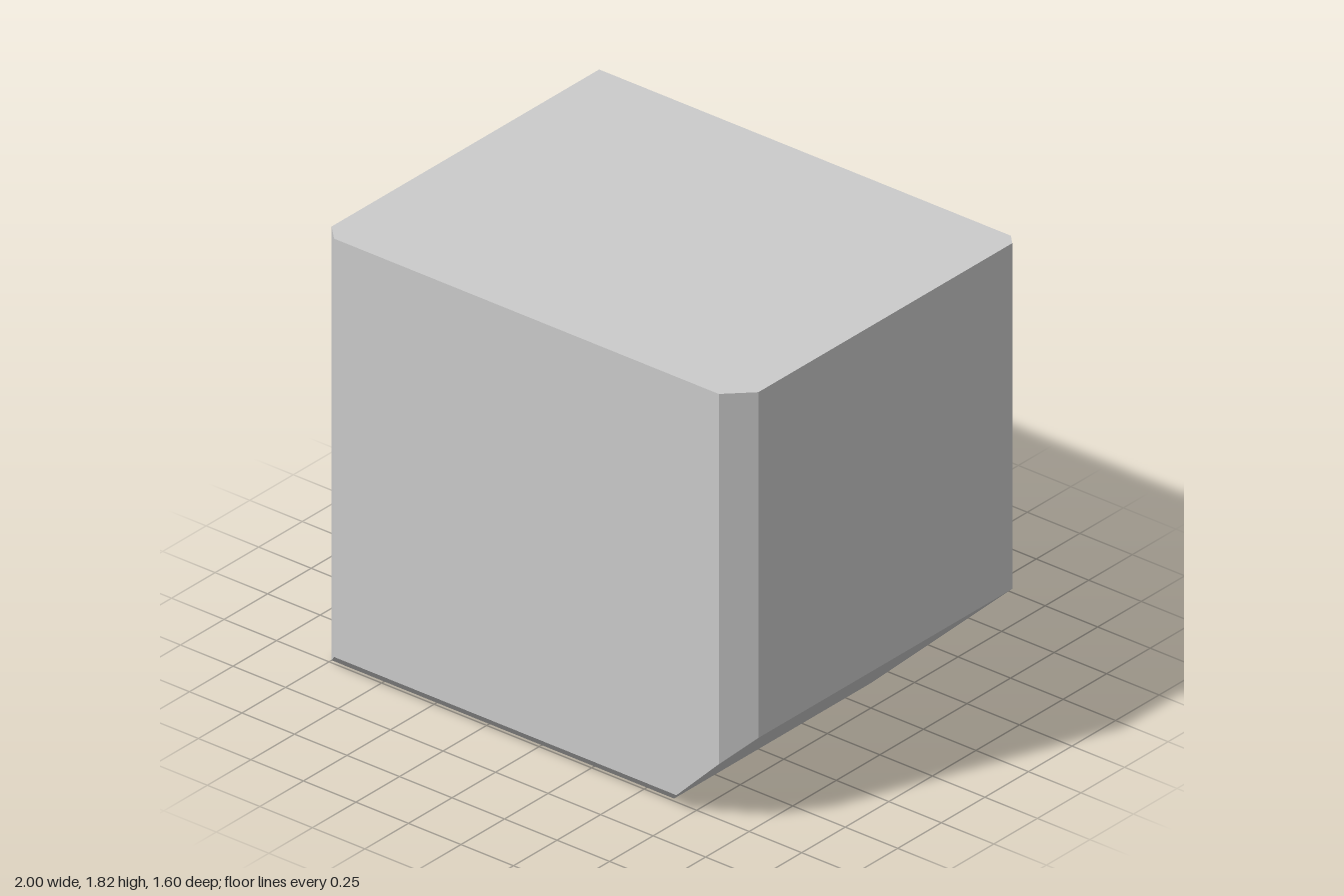
import * as THREE from 'three';
import { ConvexGeometry } from 'three/addons/geometries/ConvexGeometry.js';

const W = 1, D = 0.8, H = 1.82; // half width, half depth, full height

// Each plane is [nx, ny, nz, d]; the solid keeps n . p <= d
const faces = [
  [1, 0, 0, W], [-1, 0, 0, W],
  [0, 0, 1, D], [0, 0, -1, D],
  [0, 1, 0, H], [0, -1, 0, 0],
];
// 45 degree bevels; the last number is the bevel width
const bevels = [
  [1, 0, 1, W + D - 0.103],  // front left upright edge
  [-1, 0, 1, W + D - 0.065], // front right upright edge
  [1, 0, -1, W + D - 0.04],  // back left upright edge
  [1, -1, 0, W - 0.37],      // bottom left edge
  [0, -1, 1, D - 0.065],     // bottom front edge
  [0, -1, -1, D - 0.41],     // bottom back edge
];

// Corners of the solid: points where three planes meet, inside all the others
function cornersOf(planes) {
  const points = [];
  const normal = (p) => new THREE.Vector3(p[0], p[1], p[2]);
  for (let i = 0; i < planes.length; i++)
    for (let j = i + 1; j < planes.length; j++)
      for (let k = j + 1; k < planes.length; k++) {
        const [a, b, c] = [planes[i], planes[j], planes[k]].map(normal);
        const bc = b.clone().cross(c);
        const det = a.dot(bc);
        if (Math.abs(det) < 1e-6) continue;
        const p = bc.multiplyScalar(planes[i][3])
          .addScaledVector(c.clone().cross(a), planes[j][3])
          .addScaledVector(a.clone().cross(b), planes[k][3])
          .divideScalar(det);
        const inside = planes.every((q) => normal(q).dot(p) <= q[3] + 1e-6);
        if (inside && !points.some((q) => q.distanceTo(p) < 1e-4)) points.push(p);
      }
  return points;
}

export function createModel() {
  const group = new THREE.Group();
  group.name = 'bevelledBlock';

  // One solid block with unequal bevels
  const block = new THREE.Mesh(
    new ConvexGeometry(cornersOf([...faces, ...bevels])),
    new THREE.MeshStandardMaterial({ color: 0xcccccc, flatShading: true })
  );
  block.name = 'block';
  group.add(block);
  return group;
}
